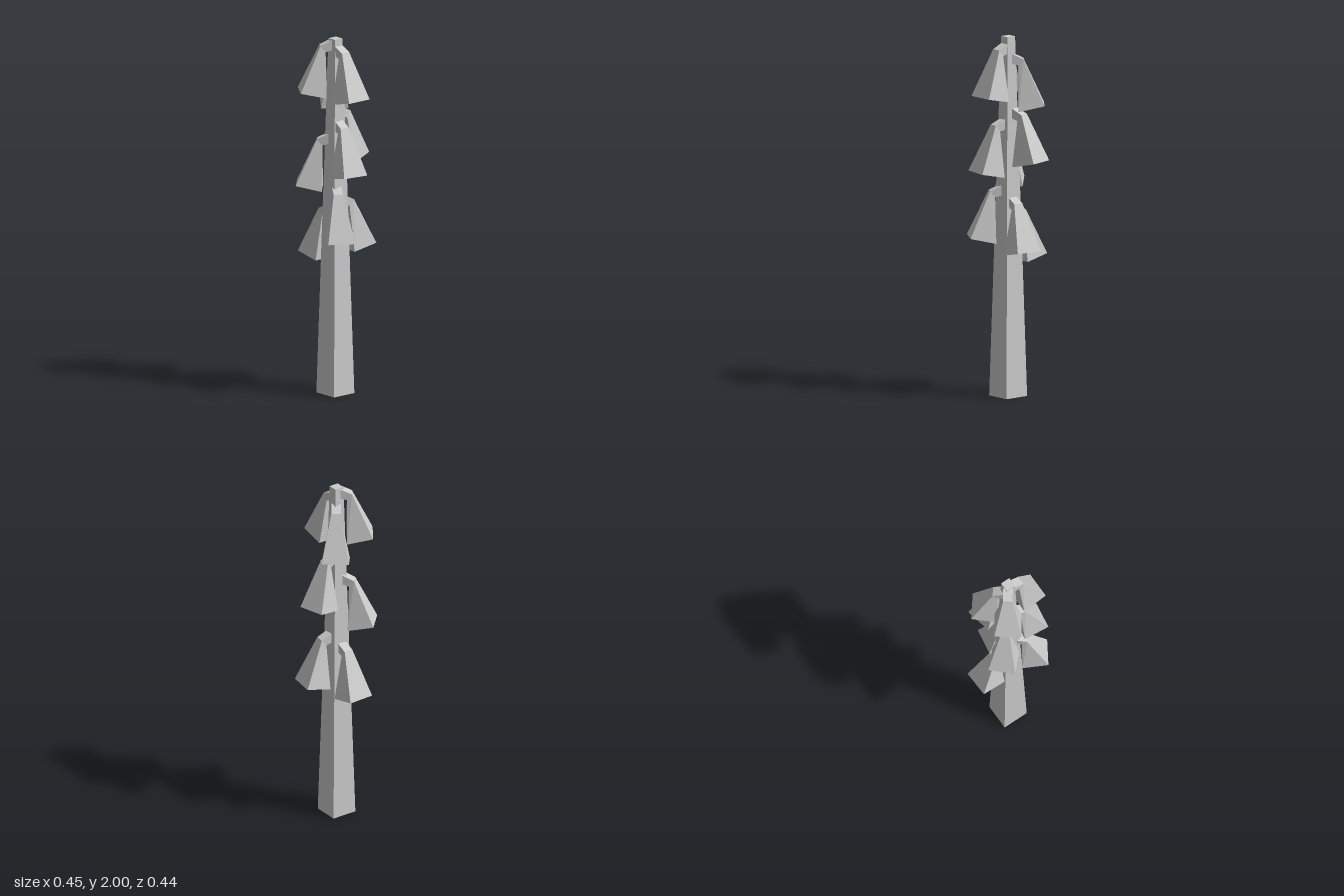
import * as THREE from 'three';

const HEIGHT = 2, BASE_HALF = 0.0735, TOP_HALF = 0.027;
const stemHalf = y => BASE_HALF + (TOP_HALF - BASE_HALF) * y / HEIGHT;

// Closed, flat-faced skin over four-cornered rings, listed from bottom to top
function loft(rings) {
  const pos = [];
  const quad = (a, b, c, d) => [a, b, c, a, c, d].forEach(p => pos.push(...p));
  for (let i = 0; i < rings.length - 1; i++) {
    for (let j = 0; j < 4; j++) {
      const k = (j + 1) % 4;
      quad(rings[i][j], rings[i][k], rings[i + 1][k], rings[i + 1][j]);
    }
  }
  const [a, b, c, d] = rings[0];
  quad(d, c, b, a);
  quad(...rings[rings.length - 1]);
  const geometry = new THREE.BufferGeometry();
  geometry.setAttribute('position', new THREE.Float32BufferAttribute(pos, 3));
  geometry.computeVertexNormals();
  return geometry;
}

// Ring across the flower: outer edge, inner edge and half width
const ring = ([ox, oy], [ix, iy], w) => [[ox, oy, w], [ox, oy, -w], [ix, iy, -w], [ix, iy, w]];

// Drooping bell that narrows into a hooked neck; x points away from the stem surface
function flowerGeometry() {
  return loft([
    ring([0.171, 0], [0.029, -0.031], 0.0745),
    ring([0.057, 0.253], [0.029, 0.218], 0.026),
    ring([-0.006, 0.283], [-0.006, 0.228], 0.026),
  ]);
}

// Each flower: angle from +x toward +z in degrees, height of the outer rim, extra reach
const FLOWERS = [
  [0, 1.681, 0], [125, 1.711, 0], [218, 1.622, -0.003],
  [9, 1.261, 0], [134, 1.182, 0.003], [255, 1.322, 0.014],
  [32, 0.891, 0], [178, 0.775, 0], [278, 0.831, 0],
];

export function createModel() {
  const model = new THREE.Group();
  model.name = 'bellFlowerSpike';
  const material = new THREE.MeshStandardMaterial({ color: 0xcccccc, flatShading: true });

  // Tapered square stem
  const square = (y, h = stemHalf(y)) => [[h, y, h], [h, y, -h], [-h, y, -h], [-h, y, h]];
  const stem = new THREE.Mesh(loft([square(0), square(HEIGHT)]), material);
  stem.name = 'stem';
  model.add(stem);

  // Three tiers of three flowers, pushed out as the stem thickens
  const geometry = flowerGeometry();
  FLOWERS.forEach(([degrees, y, reach], i) => {
    const pivot = new THREE.Group();
    pivot.name = `flower${i + 1}`;
    pivot.rotation.y = -THREE.MathUtils.degToRad(degrees);
    const bell = new THREE.Mesh(geometry, material);
    bell.name = 'bell';
    bell.position.set(stemHalf(y + 0.28) + reach, y, 0);
    pivot.add(bell);
    model.add(pivot);
  });

  model.position.set(-0.002, 0, 0.015);
  const root = new THREE.Group();
  root.name = 'plant';
  root.add(model);
  return root;
}
